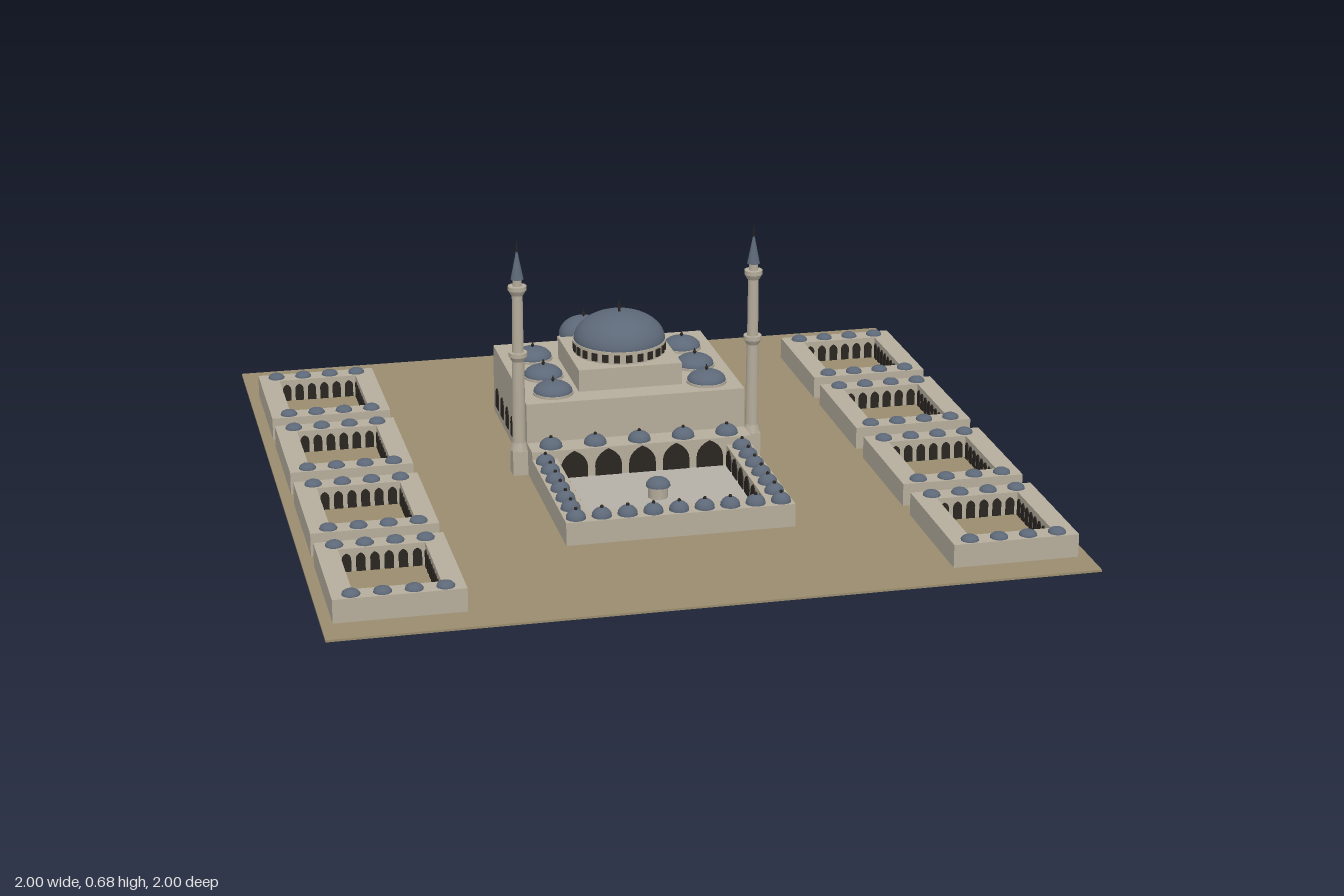
import * as THREE from 'three';

const mat = (color, side = THREE.FrontSide) => new THREE.MeshStandardMaterial({ color, side });
const ground = mat(0x9a8c6e), stone = mat(0xb5ad9c), paving = mat(0xb4afa6), lead = mat(0x5d6878);
const leadThin = mat(0x5d6878, THREE.DoubleSide), dark = mat(0x2a2520), leaf = mat(0x1f2a1a);
const G = 0.006; // ground level

function add(parent, name, geo, material, x = 0, y = 0, z = 0) {
  const m = new THREE.Mesh(geo, material);
  m.name = name;
  m.position.set(x, y, z);
  parent.add(m);
  return m;
}

// box standing on y
function block(parent, name, w, h, d, x, y, z, material = stone) {
  return add(parent, name, new THREE.BoxGeometry(w, h, d), material, x, y + h / 2, z);
}

// cylinder or cone standing on y
function drum(parent, name, r0, r1, h, n, x, y, z, material = stone) {
  return add(parent, name, new THREE.CylinderGeometry(r1, r0, h, n), material, x, y + h / 2, z);
}

// flattened half sphere with an optional finial
function dome(parent, name, r, h, x, y, z, finial = 0, n = 16) {
  const geo = new THREE.SphereGeometry(1, n, Math.max(5, n / 3 | 0), 0, Math.PI * 2, 0, Math.PI / 2);
  add(parent, name, geo.scale(r, h, r), lead, x, y, z);
  if (!finial) return;
  drum(parent, name + 'Finial', 0.0035, 0.0015, finial, 6, x, y + h - 0.002, z, dark);
  add(parent, name + 'Knob', new THREE.SphereGeometry(0.005, 8, 6), dark, x, y + h + finial * 0.3, z);
}

// pointed arch panel
function archGeometry(w, h) {
  const s = new THREE.Shape(), spring = h - w * 0.65;
  s.moveTo(-w / 2, 0);
  s.lineTo(w / 2, 0);
  s.lineTo(w / 2, spring);
  s.quadraticCurveTo(w / 2, spring + w * 0.42, 0, h);
  s.quadraticCurveTo(-w / 2, spring + w * 0.42, -w / 2, spring);
  return new THREE.ExtrudeGeometry(s, { depth: 0.004, bevelEnabled: false, curveSegments: 5 });
}

// row of arches on a wall whose outward direction is +z turned by angle
function archRow(parent, name, n, span, w, h, x, y, z, angle) {
  const row = new THREE.Group(), geo = archGeometry(w, h);
  row.name = name;
  row.position.set(x, y, z);
  row.rotation.y = angle;
  for (let i = 0; i < n; i++) add(row, 'arch', geo, dark, ((i + 0.5) / n - 0.5) * span, 0, -0.001);
  parent.add(row);
}

// rectangular building around an open court
function courtBlock(parent, name, w, d, iw, id, h, x, z, iz = z) {
  const rect = (P, a, b, cy) => {
    const p = new P();
    p.moveTo(-a / 2, cy - b / 2);
    p.lineTo(a / 2, cy - b / 2);
    p.lineTo(a / 2, cy + b / 2);
    p.lineTo(-a / 2, cy + b / 2);
    p.closePath();
    return p;
  };
  const s = rect(THREE.Shape, w, d, 0);
  s.holes.push(rect(THREE.Path, iw, id, z - iz));
  const geo = new THREE.ExtrudeGeometry(s, { depth: h, bevelEnabled: false }).rotateX(-Math.PI / 2);
  add(parent, name, geo, stone, x, G, z);
}

function minaret(x, z) {
  const g = new THREE.Group();
  g.name = 'minaret';
  block(g, 'base', 0.042, 0.07, 0.042, 0, G, 0);
  drum(g, 'baseTaper', 0.026, 0.019, 0.025, 8, 0, 0.076, 0);
  drum(g, 'lowerShaft', 0.019, 0.017, 0.26, 12, 0, 0.09, 0);
  drum(g, 'upperShaft', 0.016, 0.015, 0.19, 12, 0, 0.35, 0);
  drum(g, 'topShaft', 0.013, 0.013, 0.04, 12, 0, 0.535, 0);
  for (const y of [0.335, 0.525]) {
    drum(g, 'balconyCorbel', 0.017, 0.025, 0.014, 12, 0, y, 0);
    drum(g, 'balcony', 0.026, 0.026, 0.012, 12, 0, y + 0.014, 0);
  }
  drum(g, 'spire', 0.018, 0.001, 0.085, 12, 0, 0.57, 0, lead);
  drum(g, 'finial', 0.003, 0.001, 0.035, 6, 0, 0.643, 0, dark);
  g.position.set(x, 0, z);
  return g;
}

// low school building with two rows of shallow domes
function school(x, z) {
  const g = new THREE.Group();
  g.name = 'schoolBlock';
  courtBlock(g, 'walls', 0.338, 0.375, 0.225, 0.26, 0.063, 0, 0);
  for (const s of [-1, 1]) {
    for (let i = 0; i < 4; i++) dome(g, 'smallDome', 0.024, 0.014, (i - 1.5) * 0.079, 0.069, s * 0.16, 0, 12);
    archRow(g, 'endArches', 6, 0.22, 0.024, 0.05, 0, G, s * 0.13, s > 0 ? Math.PI : 0);
    archRow(g, 'sideArches', 8, 0.255, 0.022, 0.05, s * 0.1125, G, 0, -s * Math.PI / 2);
  }
  g.position.set(x, 0, z);
  return g;
}

function prayerHall() {
  const g = new THREE.Group();
  g.name = 'prayerHall';
  block(g, 'hallBody', 0.62, 0.199, 0.52, 0, G, -0.262);
  block(g, 'domeBase', 0.295, 0.063, 0.295, 0, 0.205, -0.222);
  drum(g, 'domeDrum', 0.128, 0.128, 0.034, 32, 0, 0.268, -0.222);
  for (let i = 0; i < 24; i++) {
    const a = (i / 24) * Math.PI * 2;
    const w = block(g, 'drumWindow', 0.017, 0.022, 0.008, Math.sin(a) * 0.128, 0.273, -0.222 + Math.cos(a) * 0.128, dark);
    w.rotation.y = a;
  }
  drum(g, 'drumCornice', 0.133, 0.133, 0.006, 32, 0, 0.299, -0.222);
  dome(g, 'mainDome', 0.13, 0.08, 0, 0.304, -0.222, 0.038, 32);
  // half dome leaning against the dome base
  const half = new THREE.SphereGeometry(1, 20, 10, Math.PI, Math.PI, 0, Math.PI / 2).scale(0.13, 0.09, 0.13);
  add(g, 'halfDome', half, leadThin, 0, 0.205, -0.372);
  const cap = new THREE.Shape().absellipse(0, 0, 0.13, 0.09, 0, Math.PI, false, 0);
  add(g, 'halfDomeBack', new THREE.ShapeGeometry(cap, 20), leadThin, 0, 0.205, -0.372);
  for (const s of [-1, 1]) {
    for (const z of [-0.382, -0.222, -0.08]) {
      drum(g, 'sideDomeRing', 0.057, 0.057, 0.008, 20, s * 0.22, 0.204, z);
      dome(g, 'sideDome', 0.055, 0.03, s * 0.22, 0.211, z, 0.018, 20);
    }
    archRow(g, 'sideWindows', 6, 0.474, 0.042, 0.062, s * 0.31, 0.032, -0.262, s * Math.PI / 2);
  }
  return g;
}

function courtyard() {
  const g = new THREE.Group();
  g.name = 'courtyard';
  courtBlock(g, 'arcadeWalls', 0.62, 0.543, 0.48, 0.4, 0.064, 0, 0.273, 0.275);
  block(g, 'courtFloor', 0.48, 0.005, 0.4, 0, G, 0.275, paving);
  block(g, 'portico', 0.62, 0.086, 0.075, 0, G, 0.037);
  for (let i = -2; i <= 2; i++) dome(g, 'porticoDome', 0.032, 0.026, i * 0.125, 0.092, 0.036, 0.006);
  for (let i = -4; i <= 4; i++) dome(g, 'frontDome', 0.027, 0.025, i * 0.0695, 0.07, 0.514, 0.006);
  for (const s of [-1, 1]) {
    for (let i = 0; i < 6; i++) dome(g, 'sideDome', 0.027, 0.025, s * 0.278, 0.07, 0.1 + i * 0.069, 0.006);
    archRow(g, 'sideArcade', 6, 0.4, 0.05, 0.056, s * 0.24, 0.01, 0.275, -s * Math.PI / 2);
  }
  archRow(g, 'frontArcade', 7, 0.48, 0.052, 0.056, 0, 0.01, 0.475, Math.PI);
  archRow(g, 'porticoArcade', 5, 0.48, 0.075, 0.078, 0, 0.01, 0.075, 0);
  // ablution fountain
  drum(g, 'fountain', 0.028, 0.028, 0.034, 8, 0, 0.01, 0.268);
  dome(g, 'fountainDome', 0.034, 0.024, 0, 0.044, 0.268);
  return g;
}

function tomb() {
  const g = new THREE.Group(), z = -0.725;
  g.name = 'tomb';
  drum(g, 'tombBody', 0.073, 0.073, 0.124, 8, 0, G, z).rotation.y = Math.PI / 8;
  drum(g, 'tombCornice', 0.081, 0.081, 0.009, 8, 0, 0.128, z).rotation.y = Math.PI / 8;
  drum(g, 'tombDrum', 0.071, 0.071, 0.018, 24, 0, 0.137, z);
  dome(g, 'tombDome', 0.074, 0.055, 0, 0.152, z, 0.026, 24);
  for (let i = 1; i < 8; i++) {
    const a = (i * Math.PI) / 4, r = 0.0675;
    archRow(g, 'tombWindow', 1, 0, 0.026, 0.06, Math.sin(a) * r, 0.035, z + Math.cos(a) * r, a);
  }
  // porch on the hall side
  block(g, 'porchRoof', 0.115, 0.009, 0.065, 0, 0.084, -0.622, lead);
  for (const x of [-0.048, 0.048]) drum(g, 'porchColumn', 0.006, 0.006, 0.08, 8, x, G, -0.6);
  archRow(g, 'door', 1, 0, 0.03, 0.062, 0, G, z + 0.0675, 0);
  return g;
}

export function createModel() {
  const model = new THREE.Group();
  model.name = 'mosqueComplex';
  block(model, 'ground', 2, G, 2, 0, 0, 0, ground);
  model.add(prayerHall(), courtyard(), tomb());
  for (const s of [-1, 1]) {
    model.add(minaret(s * 0.332, -0.003));
    for (const z of [-0.602, -0.165, 0.28, 0.718]) model.add(school(s * 0.801, z));
  }
  // cypress trees
  for (const [x, z] of [[0, -0.955], [0.14, -0.845], [-0.14, -0.845], [0.2, -0.605], [-0.2, -0.605]]) {
    drum(model, 'treeTrunk', 0.003, 0.003, 0.016, 6, x, G, z, dark);
    drum(model, 'treeCrown', 0.012, 0.0005, 0.064, 8, x, 0.018, z, leaf);
  }
  return model;
}
